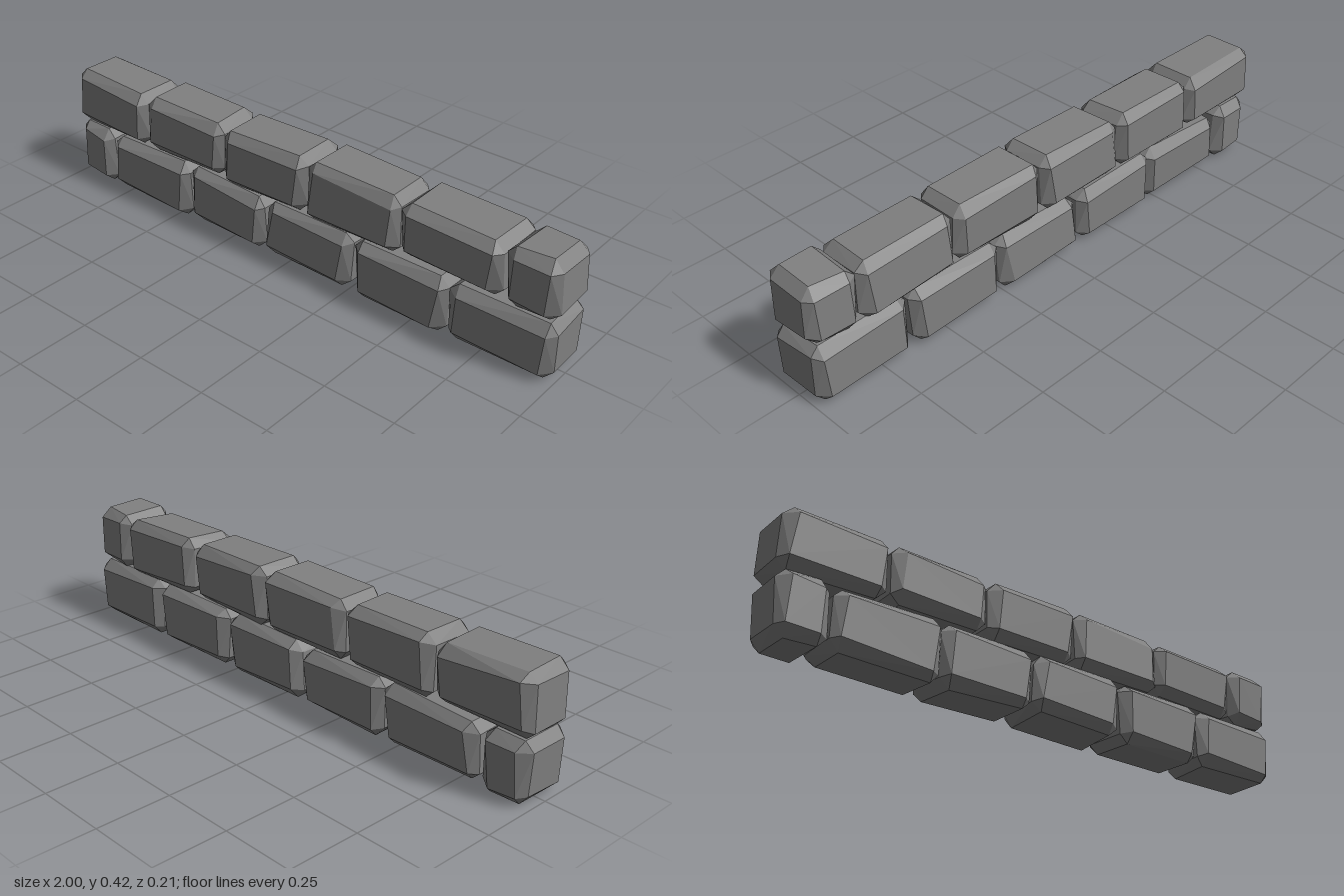
import * as THREE from 'three';
import { ConvexGeometry } from 'three/addons/geometries/ConvexGeometry.js';

// small seeded generator, so the stones are always the same
function seeded(seed) {
  let s = seed;
  return () => (s = (s * 16807) % 2147483647) / 2147483647;
}

// one hewn block: six slightly tilted faces with chamfered edges and corners
function stoneGeometry(size, rand) {
  const half = size.map(v => v / 2);
  const faces = half.map(() => [-1, 1].map(() => [0, 1].map(() => (rand() - 0.5) * 0.009)));
  const points = [];
  for (const sx of [-1, 1]) for (const sy of [-1, 1]) for (const sz of [-1, 1]) {
    const s = [sx, sy, sz];
    // corner where the three tilted faces meet
    const corner = s.map((sign, i) => {
      const [a, b] = faces[i][sign < 0 ? 0 : 1];
      const slack = Math.abs(a) + Math.abs(b);
      return sign * (half[i] - slack) + a * s[(i + 1) % 3] + b * s[(i + 2) % 3];
    });
    // each face keeps its own corner point, inset along the other two axes
    for (let i = 0; i < 3; i++) {
      const p = corner.map((c, k) => (k === i ? c : c - s[k] * (0.027 + 0.009 * rand())));
      if (i === 2) {
        p[0] += 0.007 * sy;
        p[1] -= 0.004 * sx;
      }
      points.push(new THREE.Vector3(...p));
    }
  }
  return new ConvexGeometry(points);
}

export function createModel() {
  const wall = new THREE.Group();
  wall.name = 'stoneWall';
  const stone = new THREE.MeshStandardMaterial({ color: 0x808080 });
  stone.name = 'grey stone';
  const rand = seeded(4177);

  // start and end of every block along x, in staggered courses
  const courses = [
    { name: 'lowerCourse', y: [0.0, 0.212], spans: [
      [-1, -0.825], [-0.822, -0.445], [-0.452, -0.1], [-0.095, 0.27], [0.27, 0.635], [0.633, 1]] },
    { name: 'upperCourse', y: [0.208, 0.418], spans: [
      [-1, -0.642], [-0.64, -0.28], [-0.28, 0.08], [0.083, 0.447], [0.447, 0.817], [0.815, 1]] },
  ];

  for (const { name, y, spans } of courses) {
    const course = new THREE.Group();
    course.name = name;
    spans.forEach(([x0, x1], i) => {
      const block = new THREE.Mesh(stoneGeometry([x1 - x0, y[1] - y[0], 0.214], rand), stone);
      block.name = `stoneBlock${i + 1}`;
      block.position.set((x0 + x1) / 2, (y[0] + y[1]) / 2, 0);
      course.add(block);
    });
    wall.add(course);
  }
  return wall;
}
